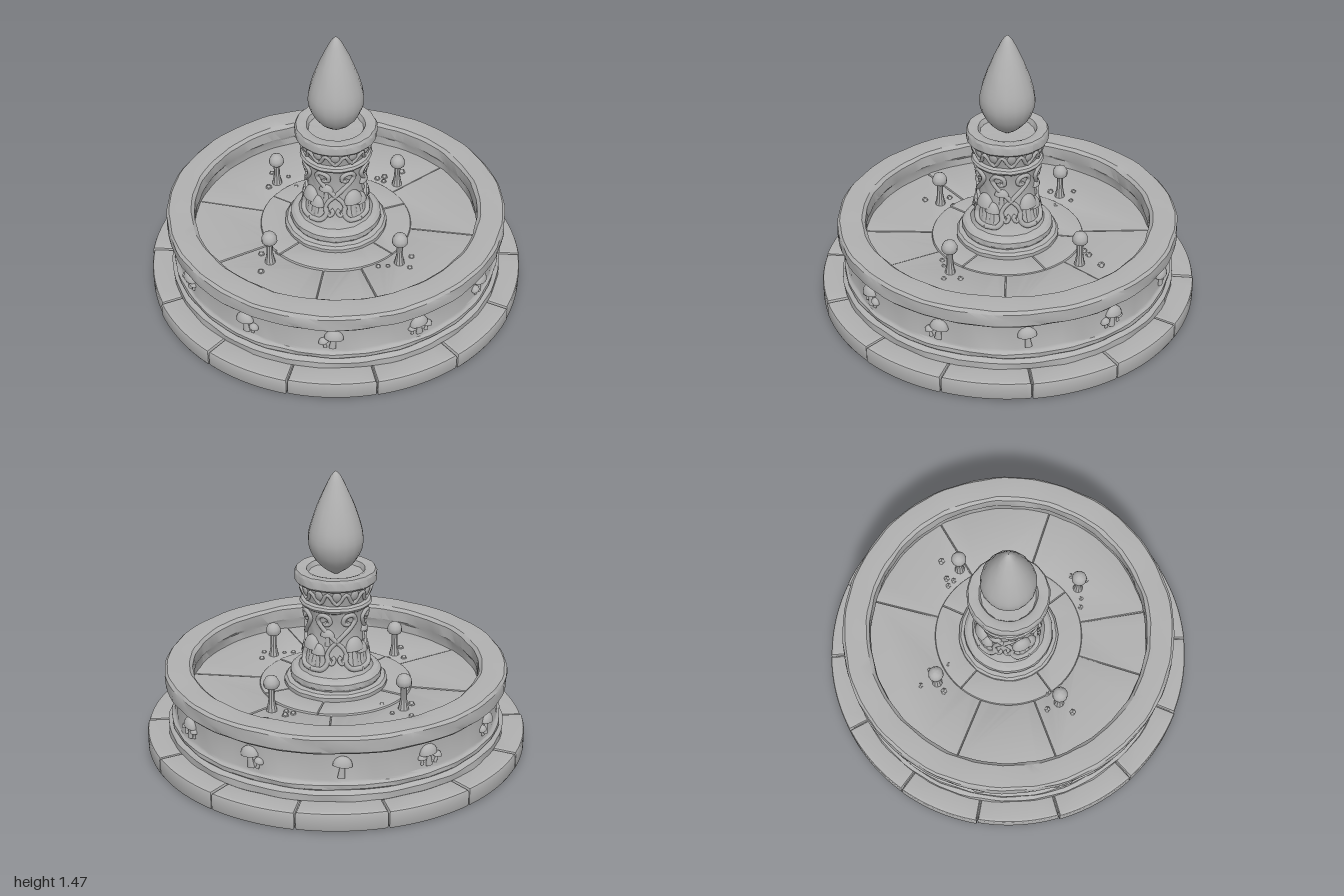
import * as THREE from 'three';
import { toCreasedNormals } from 'three/addons/utils/BufferGeometryUtils.js';

const TAU = Math.PI * 2;
const V2 = (p) => new THREE.Vector2(p[0], p[1]);

// seeded random for worn, uneven stone
let seed = 7;
const rnd = () => (seed = (seed * 16807) % 2147483647) / 2147483647;

export function createModel() {
  const model = new THREE.Group();
  const stone = new THREE.MeshStandardMaterial({ color: 0xb0b0b0 });
  stone.name = 'grey stone';

  function add(parent, name, geo) {
    const mesh = new THREE.Mesh(geo, stone);
    mesh.name = name;
    parent.add(mesh);
    return mesh;
  }

  // turned part with a slightly hewn surface
  function turned(points, segments, wear = 0, crease = 0.55) {
    const geo = new THREE.LatheGeometry(points.map(V2), segments);
    const p = geo.attributes.position;
    for (let i = 0; i < p.count; i++) {
      const x = p.getX(i), y = p.getY(i), z = p.getZ(i), r = Math.hypot(x, z);
      if (r < 0.05) continue;
      const a = Math.atan2(x, z);
      const n = Math.sin(a * 9 + y * 40) + Math.sin(a * 17 + y * 90) + Math.sin(a * 31 + r * 60);
      const k = 1 + (wear * n) / (3 * r);
      p.setXYZ(i, x * k, y + wear * 0.3 * Math.sin(a * 13 + r * 20), z * k);
    }
    return toCreasedNormals(geo, crease);
  }

  // bevelled stone block filling part of a ring; angles run from the front towards the left
  function ringStone(r0, r1, a0, a1, y0, y1, bevel, gap) {
    const s = new THREE.Shape();
    const q = Math.PI / 2;
    s.absarc(0, 0, r1, a0 - q + gap / r1, a1 - q - gap / r1, false);
    s.absarc(0, 0, r0, a1 - q - gap / r0, a0 - q + gap / r0, true);
    const geo = new THREE.ExtrudeGeometry(s, {
      depth: y1 - y0 - 2 * bevel, bevelSize: bevel, bevelThickness: bevel,
      bevelOffset: -bevel, bevelSegments: 2, curveSegments: 10,
    });
    geo.translate(0, 0, y0 + bevel).rotateX(-Math.PI / 2);
    return toCreasedNormals(geo, 0.5);
  }

  // ground course: solid core with fourteen blocks
  const course = new THREE.Group();
  course.name = 'groundCourse';
  model.add(course);
  add(course, 'courseCore', turned([[0, 0], [0.97, 0], [0.97, 0.08], [0.8, 0.085]], 84));
  for (let i = 0; i < 14; i++) {
    const a = ((i - 0.5) * TAU) / 14;
    add(course, 'courseBlock', ringStone(0.8, 0.992 + rnd() * 0.008, a, a + TAU / 14,
      0.001, 0.097 + rnd() * 0.006, 0.014, 0.003));
  }

  // basin wall, rim and floor
  add(model, 'basin', turned([
    [0.8, 0.09], [0.875, 0.09], [0.885, 0.1], [0.885, 0.135], [0.872, 0.147],
    [0.862, 0.15], [0.868, 0.158], [0.868, 0.178], [0.855, 0.188], [0.85, 0.2], [0.85, 0.35],
    [0.88, 0.352], [0.893, 0.365], [0.895, 0.4], [0.893, 0.432], [0.88, 0.446],
    [0.82, 0.45], [0.765, 0.446], [0.748, 0.43], [0.745, 0.37], [0.755, 0.352],
    [0.755, 0.295], [0.4, 0.3], [0, 0.3],
  ], 96, 0.005));

  // paving slabs in two rings
  const paving = new THREE.Group();
  paving.name = 'basinPaving';
  model.add(paving);
  const slabs = (cuts, r0, r1, top) => cuts.forEach((c, i) => {
    const next = i + 1 < cuts.length ? cuts[i + 1] : cuts[0] + 360;
    add(paving, 'pavingSlab', ringStone(r0, r1, (c * TAU) / 360, (next * TAU) / 360,
      0.28, top + rnd() * 0.006, 0.006, 0.002));
  });
  slabs([20, 82, 130, 175, 258, 300, 352], 0.4, 0.76, 0.307);
  slabs([48, 112, 165, 240, 315], 0.2, 0.4, 0.316);

  // mushroom, one unit tall, standing on its stem
  const mushroomGeo = toCreasedNormals(new THREE.LatheGeometry([
    [0, 0], [0.17, 0], [0.13, 0.3], [0.11, 0.6], [0.36, 0.56], [0.44, 0.58],
    [0.43, 0.68], [0.34, 0.84], [0.2, 0.95], [0, 1],
  ].map(V2), 14), 0.9);
  function mushroom(parent, name, x, y, z, height, width = 1, depth = width) {
    const m = add(parent, name, mushroomGeo);
    m.position.set(x, y, z);
    m.scale.set(height * width, height, height * depth);
    return m;
  }

  // carved mushroom clusters around the wall
  for (let i = 0; i < 12; i++) {
    const cluster = new THREE.Group();
    cluster.name = 'wallMushrooms';
    cluster.rotation.y = (i * TAU) / 12;
    model.add(cluster);
    const side = i % 2 ? 1 : -1;
    mushroom(cluster, 'largeMushroom', 0, 0.215, 0.855, 0.115, 0.95, 0.6).rotation.z = side * 0.1;
    if (i % 3 !== 0 || i === 0) {
      mushroom(cluster, 'smallMushroom', side * 0.035, 0.22, 0.855, 0.06, 0.95, 0.8).rotation.z = -side * 0.25;
    }
    if (i % 3 === 1) mushroom(cluster, 'smallMushroom', -side * 0.04, 0.225, 0.853, 0.055, 1, 0.8);
  }

  // four spout mushrooms standing in the basin
  for (const sx of [-1, 1]) for (const sz of [-1, 1]) {
    const x = sx * 0.333, z = sz * 0.333;
    const spout = new THREE.Group();
    spout.name = 'spoutMushroom';
    spout.position.set(x, 0, z);
    model.add(spout);
    add(spout, 'spoutStem', turned([[0.03, 0.3], [0.024, 0.33], [0.017, 0.37], [0.017, 0.47]], 10));
    add(spout, 'spoutCap', turned([
      [0, 0.448], [0.034, 0.44], [0.041, 0.45], [0.04, 0.472], [0.029, 0.493], [0.012, 0.502], [0, 0.503],
    ], 12, 0.002, 0.9));
    // broken pebbles at the foot
    for (let k = 0; k < 4; k++) {
      const pebble = add(spout, 'pebble', new THREE.DodecahedronGeometry(0.012 + rnd() * 0.008));
      const a = rnd() * TAU, d = 0.06 + rnd() * 0.06;
      pebble.position.set(Math.sin(a) * d, 0.31, Math.cos(a) * d);
    }
  }

  // central column
  const column = new THREE.Group();
  column.name = 'column';
  model.add(column);
  const shaftR = (y) => (y < 0.78 ? 0.148 + (y - 0.62) ** 2 : 0.16 + (y - 0.8) * 0.32);
  const shaft = [];
  for (let i = 0; i <= 10; i++) {
    const y = 0.44 + i * 0.032;
    shaft.push([shaftR(y), y]);
  }
  add(column, 'columnBody', turned([
    [0.265, 0.3], [0.27, 0.31], [0.27, 0.338], [0.258, 0.352], [0.232, 0.356], [0.24, 0.37],
    [0.238, 0.395], [0.222, 0.41], [0.195, 0.415], ...shaft,
    [0.18, 0.768], [0.187, 0.78], [0.18, 0.793], [0.162, 0.8], [0.17, 0.83], [0.188, 0.885],
    [0.203, 0.89], [0.211, 0.9], [0.211, 0.94], [0.203, 0.954], [0.17, 0.957], [0.15, 0.95],
    [0.14, 0.925], [0, 0.92],
  ], 48, 0.003));

  // raised carving that follows the column surface: points are (angle, height)
  function carving(name, points, radius, closed = false) {
    const curve = new THREE.CatmullRomCurve3(points.map(([a, y]) => {
      const r = shaftR(y) + radius * 0.4;
      return new THREE.Vector3(Math.sin(a) * r, y, Math.cos(a) * r);
    }), closed);
    add(column, name, new THREE.TubeGeometry(curve, points.length * 6, radius, 7, closed));
  }

  // curling vines and mushrooms, mirrored on each of four sides
  for (let i = 0; i < 4; i++) {
    const mid = (i * TAU) / 4;
    for (const s of [-1, 1]) {
      const bend = (pts) => pts.map(([u, y]) => [mid + (s * u) / 0.16, y]);
      carving('heartVine', bend([[0.0, 0.6], [0.035, 0.635], [0.08, 0.68], [0.1, 0.72],
        [0.075, 0.75], [0.04, 0.738], [0.036, 0.705], [0.06, 0.698], [0.066, 0.716]]), 0.012);
      carving('lowerVine', bend([[0.0, 0.6], [0.038, 0.56], [0.05, 0.52], [0.025, 0.485],
        [0.012, 0.505], [0.024, 0.522]]), 0.011);
      carving('rootVine', bend([[0.05, 0.53], [0.045, 0.49], [0.07, 0.455], [0.125, 0.445]]), 0.014);
      const pair = new THREE.Group();
      pair.name = 'columnMushrooms';
      pair.rotation.y = mid + s * 0.63;
      column.add(pair);
      const big = s > 0;
      mushroom(pair, 'columnMushroom', 0, 0.45, big ? 0.166 : 0.168, big ? 0.17 : 0.135, big ? 0.72 : 0.68, 0.45)
        .rotation.x = -0.1;
    }
    const bud = new THREE.Group();
    bud.name = 'vineMushroom';
    bud.rotation.y = mid - 0.32;
    column.add(bud);
    mushroom(bud, 'smallMushroom', 0, 0.575, 0.148, 0.095, 0.9, 0.55);
  }

  // pointed leaf band under the capital
  const zigzag = [];
  for (let i = 0; i < 24; i++) zigzag.push([(i * TAU) / 24, i % 2 ? 0.872 : 0.813]);
  carving('leafBand', zigzag, 0.01, true);
  for (let i = 0; i < 12; i++) {
    const holder = new THREE.Group();
    holder.name = 'bandLeaf';
    holder.rotation.y = (i * TAU) / 12;
    column.add(holder);
    const leaf = add(holder, 'leaf', new THREE.SphereGeometry(1, 10, 8));
    leaf.scale.set(0.024, 0.03, 0.01);
    leaf.position.set(0, 0.858, shaftR(0.858));
    leaf.rotation.x = 0.3;
  }

  // drop-shaped finial
  const outline = new THREE.SplineCurve([
    [0.0, 0.915], [0.055, 0.95], [0.105, 1.0], [0.136, 1.065], [0.141, 1.13], [0.122, 1.21],
    [0.09, 1.3], [0.05, 1.39], [0.022, 1.443], [0, 1.465],
  ].map(V2)).getPoints(22).map((p) => [Math.max(p.x, 0), p.y]);
  add(model, 'dropFinial', turned(outline, 18, 0.002, 0.5));

  return model;
}
